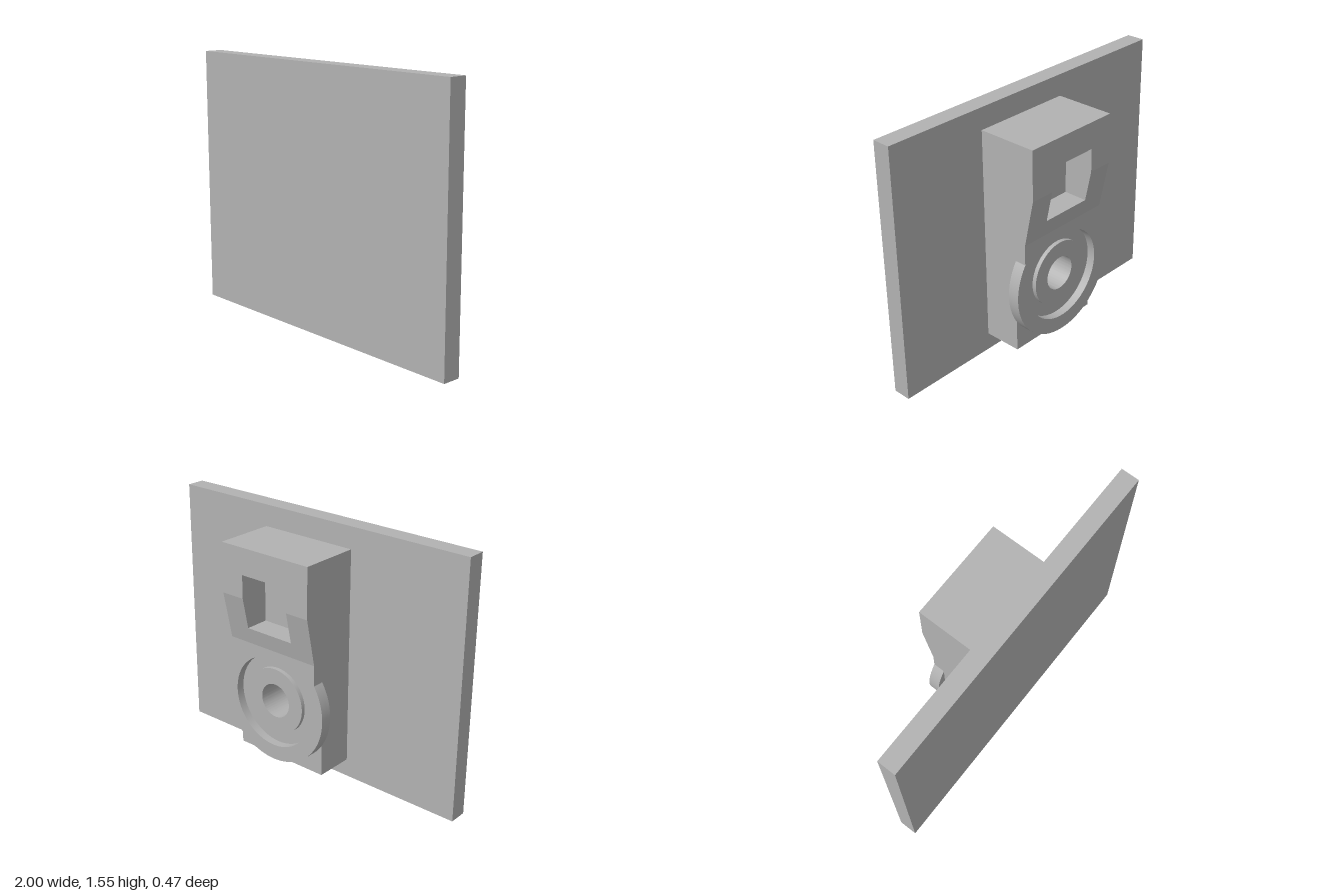
import * as THREE from 'three';
import { toCreasedNormals } from 'three/addons/utils/BufferGeometryUtils.js';

const grey = new THREE.MeshStandardMaterial({ color: 0xb2b2b2 });
grey.name = 'grey';

const CX = 0.06;             // housing centre line
const HALF = 0.31;           // housing half width
const DISC_Y = 0.505;        // dial centre height
const DISC_R = 0.37;
const BORE_R = 0.103;
const JOIN_Y = 0.83;         // where the sloped upper housing starts
const FRONT = 0.13;          // rear face of the plate

function addMesh(parent, name, geometry) {
  const mesh = new THREE.Mesh(geometry, grey);
  mesh.name = name;
  parent.add(mesh);
}

// Outline in x/y swept between two z values, with an optional round hole at the dial centre
function slab(shape, z0, z1, holeR) {
  if (holeR) {
    const hole = new THREE.Path();
    hole.absarc(0, DISC_Y, holeR, 0, Math.PI * 2, true);
    shape.holes.push(hole);
  }
  const g = new THREE.ExtrudeGeometry(shape, { depth: z1 - z0, bevelEnabled: false, curveSegments: 48 });
  g.translate(0, 0, z0);
  return toCreasedNormals(g, 0.5);
}

// Side profile of [z, y] points swept across x
function sideSlab(points, x0, x1) {
  const shape = new THREE.Shape(points.map(([z, y]) => new THREE.Vector2(z, y)));
  const g = new THREE.ExtrudeGeometry(shape, { depth: x1 - x0, bevelEnabled: false });
  g.rotateY(-Math.PI / 2);
  g.translate(x1, 0, 0);
  return g;
}

function box(x0, x1, y0, y1, z0, z1) {
  const g = new THREE.BoxGeometry(x1 - x0, y1 - y0, z1 - z0);
  g.translate((x0 + x1) / 2, (y0 + y1) / 2, (z0 + z1) / 2);
  return g;
}

function rectangle(y0, y1) {
  return new THREE.Shape([[-HALF, y0], [HALF, y0], [HALF, y1], [-HALF, y1]]
    .map(([x, y]) => new THREE.Vector2(x, y)));
}

// Round dial outline merging into the straight neck above it
function keyhole() {
  const a = Math.acos(HALF / DISC_R);
  const s = new THREE.Shape();
  s.moveTo(HALF, JOIN_Y);
  s.lineTo(-HALF, JOIN_Y);
  s.absarc(0, DISC_Y, DISC_R, Math.PI - a, Math.PI * 2 + a, false);
  s.closePath();
  return s;
}

function disc(r) {
  const s = new THREE.Shape();
  s.absarc(0, DISC_Y, r, 0, Math.PI * 2, false);
  return s;
}

export function createModel() {
  const model = new THREE.Group();
  model.name = 'plateWithHousing';
  addMesh(model, 'plate', box(-1, 1, 0, 1.55, FRONT, 0.24));

  const housing = new THREE.Group();
  housing.name = 'housing';
  housing.position.x = CX;
  model.add(housing);

  // Lower body and dial, stepped in depth around the bore
  addMesh(housing, 'lowerBody', slab(rectangle(0.11, JOIN_Y), -0.105, FRONT, BORE_R));
  addMesh(housing, 'dialBase', slab(keyhole(), -0.125, -0.105, BORE_R));
  addMesh(housing, 'dialRim', slab(keyhole(), -0.175, -0.125, 0.277));
  addMesh(housing, 'dialBoss', slab(disc(0.2), -0.15, -0.125, BORE_R));

  // Upper body: two cheeks, a sill and a lintel around the square pocket
  const W = 0.16, SILL = 0.93, LINTEL = 1.26, TOP = 1.42;
  const cheek = [[FRONT, JOIN_Y], [FRONT, TOP], [-0.235, TOP], [-0.235, 1.12], [-0.175, JOIN_Y]];
  addMesh(housing, 'leftCheek', sideSlab(cheek, W, HALF));
  addMesh(housing, 'rightCheek', sideSlab(cheek, -HALF, -W));
  const sillZ = -0.175 - 0.06 * (SILL - JOIN_Y) / (1.12 - JOIN_Y);
  addMesh(housing, 'pocketSill',
    sideSlab([[FRONT, JOIN_Y], [FRONT, SILL], [sillZ, SILL], [-0.175, JOIN_Y]], -W, W));
  addMesh(housing, 'pocketLintel', box(-W, W, LINTEL, TOP, -0.235, FRONT));
  addMesh(housing, 'pocketBack', box(-W, W, SILL, LINTEL, -0.05, FRONT));

  return model;
}
